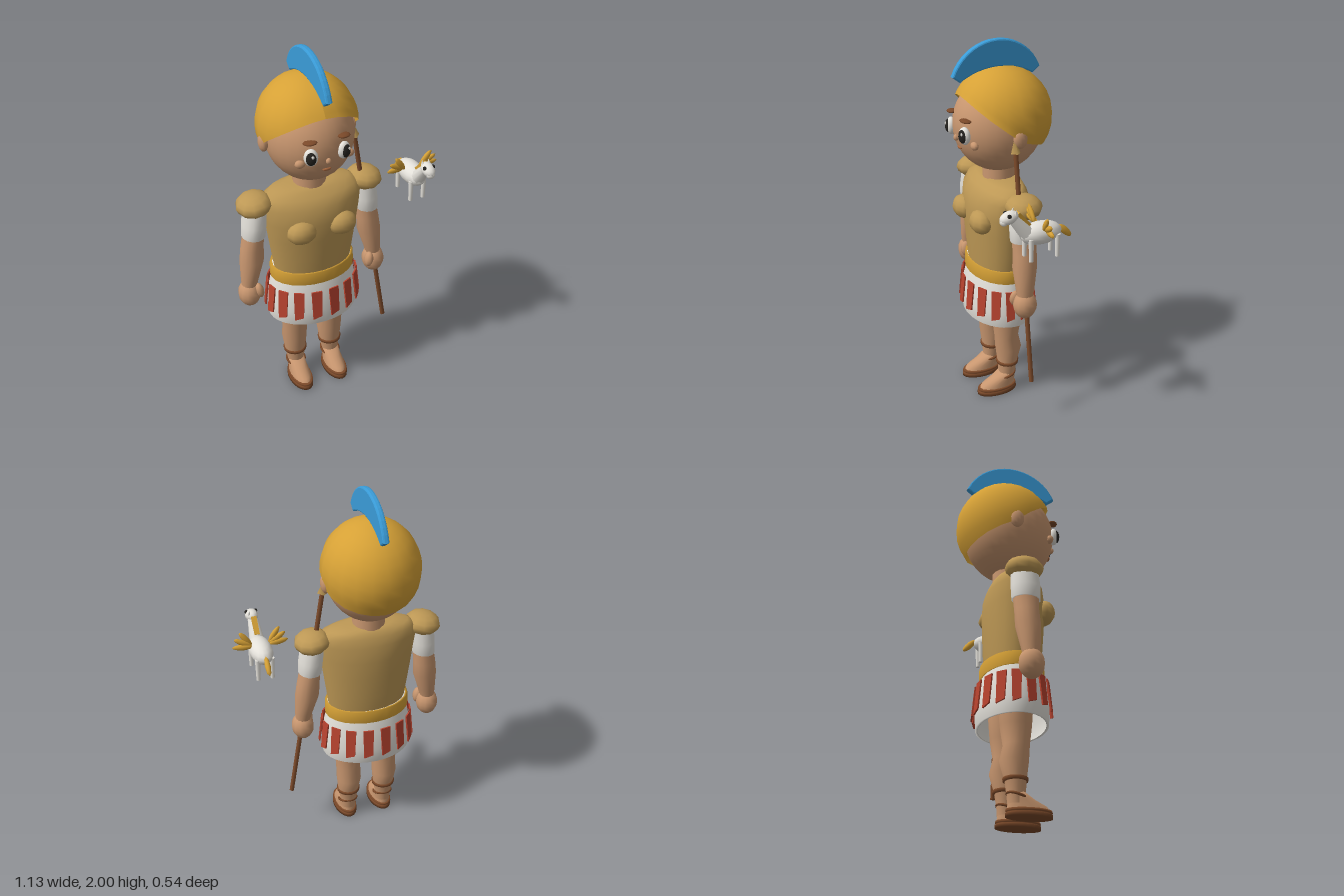
import * as THREE from 'three';

const mat = (name, color) => {
  const m = new THREE.MeshStandardMaterial({ color, side: THREE.DoubleSide });
  m.name = name;
  return m;
};

// Stack of elliptical rings: each row is [y, rx, rz, zCentre, xCentre]
function loft(rows, seg = 16) {
  const pos = [], idx = [];
  rows.forEach(([y, rx, rz, zc = 0, xc = 0]) => {
    for (let i = 0; i < seg; i++) {
      const a = (i / seg) * Math.PI * 2;
      pos.push(xc + Math.sin(a) * rx, y, zc + Math.cos(a) * rz);
    }
  });
  for (let r = 0; r < rows.length - 1; r++) {
    for (let i = 0; i < seg; i++) {
      const j = (i + 1) % seg, a = r * seg + i, b = r * seg + j;
      idx.push(a, b, b + seg, a, b + seg, a + seg);
    }
  }
  const g = new THREE.BufferGeometry();
  g.setAttribute('position', new THREE.Float32BufferAttribute(pos, 3));
  g.setIndex(idx);
  g.computeVertexNormals();
  return g;
}

// Dome whose lower rim rises over the face and drops behind the neck
function helmetGeometry() {
  const g = new THREE.SphereGeometry(1, 20, 10, 0, Math.PI * 2, 0, 1);
  const p = g.attributes.position;
  for (let r = 0, k = 0; r <= 10; r++) {
    for (let i = 0; i <= 20; i++, k++) {
      const a = -(i / 20) * Math.PI * 2, c = Math.cos(a);
      const rim = THREE.MathUtils.degToRad(106 - (c > 0 ? 46 : 21) * c);
      const t = (rim * r) / 10;
      p.setXYZ(k, -Math.sin(t) * Math.sin(a) * 0.255, Math.cos(t) * 0.262, Math.sin(t) * c * 0.262);
    }
  }
  // keep the outside facing outward
  const ix = g.index.array;
  const v = (n) => new THREE.Vector3().fromBufferAttribute(p, n);
  for (let n = 0; n < ix.length; n += 3) {
    const A = v(ix[n]), B = v(ix[n + 1]), C = v(ix[n + 2]);
    if (B.clone().sub(A).cross(C.clone().sub(A)).dot(A) < 0) [ix[n + 1], ix[n + 2]] = [ix[n + 2], ix[n + 1]];
  }
  g.computeVertexNormals();
  return g;
}

export function createModel() {
  const skin = mat('skin', 0xc8966f), gold = mat('gold', 0xd6a136), bronze = mat('bronze', 0xbd9855);
  const white = mat('white cloth', 0xe4e1da), red = mat('red leather', 0xb8432f), blue = mat('blue crest', 0x3a9cd8);
  const brown = mat('brown leather', 0x7c4a2a), black = mat('black', 0x24221f), lips = mat('dark skin', 0xa8683f);

  const model = new THREE.Group();
  model.name = 'soldierWithWingedHorse';
  const add = (parent, name, geo, m, x = 0, y = 0, z = 0) => {
    const mesh = new THREE.Mesh(geo, m);
    mesh.name = name;
    mesh.position.set(x, y, z);
    parent.add(mesh);
    return mesh;
  };
  const ball = (parent, name, m, [x, y, z], [rx, ry, rz], w = 16, h = 12) => {
    const mesh = add(parent, name, new THREE.SphereGeometry(1, w, h), m, x, y, z);
    mesh.scale.set(rx, ry, rz);
    return mesh;
  };
  const rod = (parent, name, m, a, b, r0, r1 = r0, seg = 8) => {
    const A = new THREE.Vector3(...a), B = new THREE.Vector3(...b), d = B.clone().sub(A);
    const mesh = add(parent, name, new THREE.CylinderGeometry(r1, r0, d.length(), seg), m);
    mesh.position.copy(A).add(B).multiplyScalar(0.5);
    mesh.quaternion.setFromUnitVectors(new THREE.Vector3(0, 1, 0), d.normalize());
    return mesh;
  };

  const soldier = new THREE.Group();
  soldier.name = 'soldier';
  soldier.position.x = -0.145;
  model.add(soldier);

  // Head and face
  ball(soldier, 'head', skin, [0, 1.56, 0.003], [0.225, 0.25, 0.237], 28, 20);
  add(soldier, 'neck', new THREE.CylinderGeometry(0.083, 0.088, 0.2, 16), skin, 0, 1.29, 0);
  ball(soldier, 'nose', skin, [0, 1.515, 0.238], [0.014, 0.017, 0.014], 10, 8);
  ball(soldier, 'mouth', lips, [0, 1.46, 0.218], [0.024, 0.009, 0.01], 10, 6);
  for (const s of [-1, 1]) {
    const eye = new THREE.Group();
    eye.name = s > 0 ? 'leftEye' : 'rightEye';
    eye.position.set(s * 0.086, 1.55, 0.227);
    eye.rotation.y = s * 0.35;
    soldier.add(eye);
    ball(eye, 'eyeWhite', white, [0, 0, 0], [0.035, 0.046, 0.026]);
    ball(eye, 'pupil', black, [0, 0, 0.014], [0.026, 0.036, 0.018]);
    ball(eye, 'eyeGlint', white, [0.008, 0.016, 0.029], [0.007, 0.009, 0.004], 8, 6);
    const brow = ball(soldier, 'eyebrow', brown, [s * 0.088, 1.628, 0.222], [0.036, 0.009, 0.026], 10, 6);
    brow.rotation.set(0, s * 0.35, s * -0.06);
    ball(soldier, 'cheek', skin, [s * 0.128, 1.505, 0.193], [0.028, 0.022, 0.02], 10, 8);
    ball(soldier, 'ear', skin, [s * 0.235, 1.545, -0.01], [0.025, 0.052, 0.038], 12, 8);
  }

  // Helmet with crest
  add(soldier, 'helmet', helmetGeometry(), gold, 0, 1.598, -0.018);
  const crestShape = new THREE.Shape();
  const arc = (hw, edge, top, n, dir) => Array.from({ length: n + 1 }, (_, i) => {
    const sag = top - edge, R = (hw * hw + sag * sag) / (2 * sag), a = Math.asin(hw / R) * (1 - (2 * i) / n) * dir;
    return new THREE.Vector2(R * Math.sin(a), top - R + R * Math.cos(a));
  });
  crestShape.setFromPoints([...arc(0.232, 1.835, 1.992, 18, 1), ...arc(0.2, 1.81, 1.866, 12, -1)]);
  const crestGeo = new THREE.ExtrudeGeometry(crestShape, { depth: 0.014, bevelThickness: 0.01, bevelSize: 0.008, bevelSegments: 2 });
  crestGeo.translate(0, 0, -0.007);
  crestGeo.rotateY(-Math.PI / 2);
  add(soldier, 'crest', crestGeo, blue, 0, 0, 0.013);

  // Breastplate and belt
  add(soldier, 'breastplate', loft([[0.78, 0.212, 0.138, 0.02], [0.88, 0.226, 0.146, 0.02], [1.0, 0.243, 0.152, 0.022],
    [1.1, 0.256, 0.156, 0.024], [1.19, 0.269, 0.145, 0.02], [1.235, 0.262, 0.118, 0.01], [1.262, 0.215, 0.095, 0],
    [1.275, 0.13, 0.075, 0], [1.278, 0, 0, 0]], 20), bronze);
  for (const s of [-1, 1]) ball(soldier, 'chestPlate', bronze, [s * 0.11, 1.072, 0.155], [0.08, 0.064, 0.06], 10, 8);
  add(soldier, 'belt', loft([[0.73, 0.22, 0.15, 0.015], [0.73, 0.232, 0.161, 0.015], [0.8, 0.23, 0.159, 0.015],
    [0.8, 0.218, 0.148, 0.015]], 24), gold);
  add(soldier, 'undershirt', loft([[0.73, 0.222, 0.152, 0.015], [0.79, 0.22, 0.15, 0.015], [0.79, 0, 0, 0.015]], 24), white);

  // Skirt with leather strips
  add(soldier, 'skirt', loft([[0.475, 0.235, 0.165, 0.015], [0.475, 0.246, 0.178, 0.015], [0.56, 0.25, 0.182, 0.015],
    [0.66, 0.238, 0.17, 0.015], [0.735, 0.222, 0.152, 0.015]], 32), white);
  const stripShape = new THREE.Shape([[-0.026, -0.085], [0.026, -0.07], [0.03, 0.085], [-0.03, 0.085]].map(([x, y]) => new THREE.Vector2(x, y)));
  const stripGeo = new THREE.ExtrudeGeometry(stripShape, { depth: 0.008, bevelEnabled: false });
  for (let i = 0; i < 16; i++) {
    const a = ((i + 0.5) / 16) * Math.PI * 2;
    const strip = add(soldier, 'skirtStrip', stripGeo, red, Math.sin(a) * 0.251, 0.606, 0.015 + Math.cos(a) * 0.184);
    strip.rotation.order = 'YXZ';
    strip.rotation.set(-0.1, Math.atan2(Math.sin(a) * 0.184, Math.cos(a) * 0.251), 0);
    strip.scale.x = 0.8 + 0.15 * Math.abs(Math.cos(a));
  }

  for (const s of [-1, 1]) {
    // Leg, foot and sandal
    const leg = new THREE.Group();
    leg.name = s > 0 ? 'leftLeg' : 'rightLeg';
    leg.position.x = s * 0.105;
    soldier.add(leg);
    add(leg, 'legSkin', loft([[0.06, 0.044, 0.045, 0.01], [0.11, 0.046, 0.046, 0.008], [0.18, 0.058, 0.054, 0.005],
      [0.27, 0.068, 0.073, -0.002], [0.35, 0.068, 0.066, 0.01], [0.45, 0.077, 0.08, 0.008], [0.56, 0.085, 0.088, 0.008],
      [0.66, 0.08, 0.08, 0.008], [0.66, 0, 0, 0.008]]), skin);
    add(leg, 'foot', loft([[0.03, 0.054, 0.107, 0.07], [0.055, 0.051, 0.097, 0.062], [0.085, 0.047, 0.066, 0.034],
      [0.115, 0.044, 0.046, 0.012], [0.12, 0, 0, 0.01]]), skin);
    add(leg, 'sole', loft([[0, 0, 0, 0.07], [0, 0.062, 0.116, 0.07], [0.018, 0.062, 0.116, 0.07], [0.02, 0.057, 0.11, 0.07],
      [0.026, 0.057, 0.11, 0.07], [0.028, 0.061, 0.115, 0.07], [0.038, 0.058, 0.112, 0.07], [0.038, 0, 0, 0.07]], 20), brown);
    add(leg, 'calfStrap', loft([[0.17, 0.055, 0.052, 0.005], [0.172, 0.064, 0.061, 0.005], [0.188, 0.066, 0.063, 0.005],
      [0.19, 0.055, 0.052, 0.005]]), brown);
    const strap = add(leg, 'ankleStrap', new THREE.TorusGeometry(0.05, 0.007, 6, 18), brown, 0, 0.1, 0.012);
    strap.rotation.x = Math.PI / 2 + 0.3;

    // Arm, sleeve, shoulder guard and hand
    const arm = new THREE.Group();
    arm.name = s > 0 ? 'leftArm' : 'rightArm';
    soldier.add(arm);
    add(arm, 'armSkin', loft([[0.71, 0.038, 0.04, 0.022, s * 0.36], [0.77, 0.047, 0.05, 0.02, s * 0.353],
      [0.88, 0.064, 0.064, 0.014, s * 0.335], [0.96, 0.06, 0.062, 0.01, s * 0.328], [1.05, 0.055, 0.066, 0.01, s * 0.315],
      [1.16, 0.055, 0.06, 0.01, s * 0.305]], 14), skin);
    add(arm, 'sleeve', loft([[1.03, 0.052, 0.062, 0.01, s * 0.318], [1.03, 0.062, 0.074, 0.01, s * 0.318],
      [1.1, 0.064, 0.076, 0.01, s * 0.312], [1.19, 0.062, 0.07, 0.008, s * 0.302]], 14), white);
    const guard = ball(arm, 'shoulderGuard', bronze, [s * 0.305, 1.21, 0.006], [0.094, 0.06, 0.098], 10, 8);
    guard.rotation.z = s * -0.12;
    ball(arm, 'hand', skin, [s * 0.36, 0.675, 0.023], [0.06, 0.077, 0.064], 12, 10);
    const thumb = ball(arm, 'thumb', skin, [s * 0.318, 0.7, 0.06], [0.024, 0.045, 0.03], 10, 8);
    thumb.rotation.z = s * -0.15;
  }

  // Spear held in the left hand
  const spear = new THREE.Group();
  spear.name = 'spear';
  model.add(spear);
  rod(spear, 'spearShaft', brown, [0.29, 0.24, 0.02], [0.095, 1.49, 0.02], 0.013);
  rod(spear, 'spearHead', bronze, [0.097, 1.475, 0.02], [0.086, 1.55, 0.02], 0.027, 0.002, 4);

  // Small winged horse
  const horse = new THREE.Group();
  horse.name = 'wingedHorse';
  horse.position.x = 0.42;
  model.add(horse);
  ball(horse, 'horseBody', white, [0, 1.188, 0.045], [0.06, 0.058, 0.112], 14, 10);
  rod(horse, 'horseNeck', white, [0, 1.195, 0.115], [0, 1.295, 0.195], 0.04, 0.026, 10);
  const head = ball(horse, 'horseHead', white, [0, 1.3, 0.213], [0.034, 0.032, 0.05], 12, 10);
  head.rotation.x = 0.25;
  ball(horse, 'horseMuzzle', white, [0, 1.284, 0.242], [0.024, 0.022, 0.02], 10, 8);
  const mane = add(horse, 'mane', new THREE.BoxGeometry(0.026, 0.095, 0.022), gold, 0, 1.277, 0.14);
  mane.rotation.x = 0.7;
  const tail = ball(horse, 'horseTail', gold, [0, 1.172, -0.088], [0.015, 0.018, 0.052], 8, 8);
  tail.rotation.x = -0.8;
  for (const s of [-1, 1]) {
    ball(horse, 'horseEye', black, [s * 0.024, 1.316, 0.222], [0.01, 0.011, 0.012], 8, 6);
    const ear = add(horse, 'horseEar', new THREE.ConeGeometry(0.01, 0.025, 6), white, s * 0.018, 1.33, 0.185);
    ear.rotation.x = -0.3;
    for (const z of [0.113, -0.03]) rod(horse, 'horseLeg', white, [s * 0.037, 1.06, z], [s * 0.037, 1.18, z], 0.011, 0.014);
    // Wing made of three fanned feathers
    [0.05, 0.5, 0.95].forEach((a, i) => {
      const L = 0.05, cx = 0.045 + Math.cos(a) * L, cy = 1.22 + Math.sin(a) * L;
      const f = ball(horse, 'wingFeather', gold, [s * cx, cy, 0.05 + (i - 1) * 0.006], [0.052, 0.016, 0.012], 8, 6);
      f.rotation.set(0, s * -0.1, s * a);
    });
  }
  return model;
}
